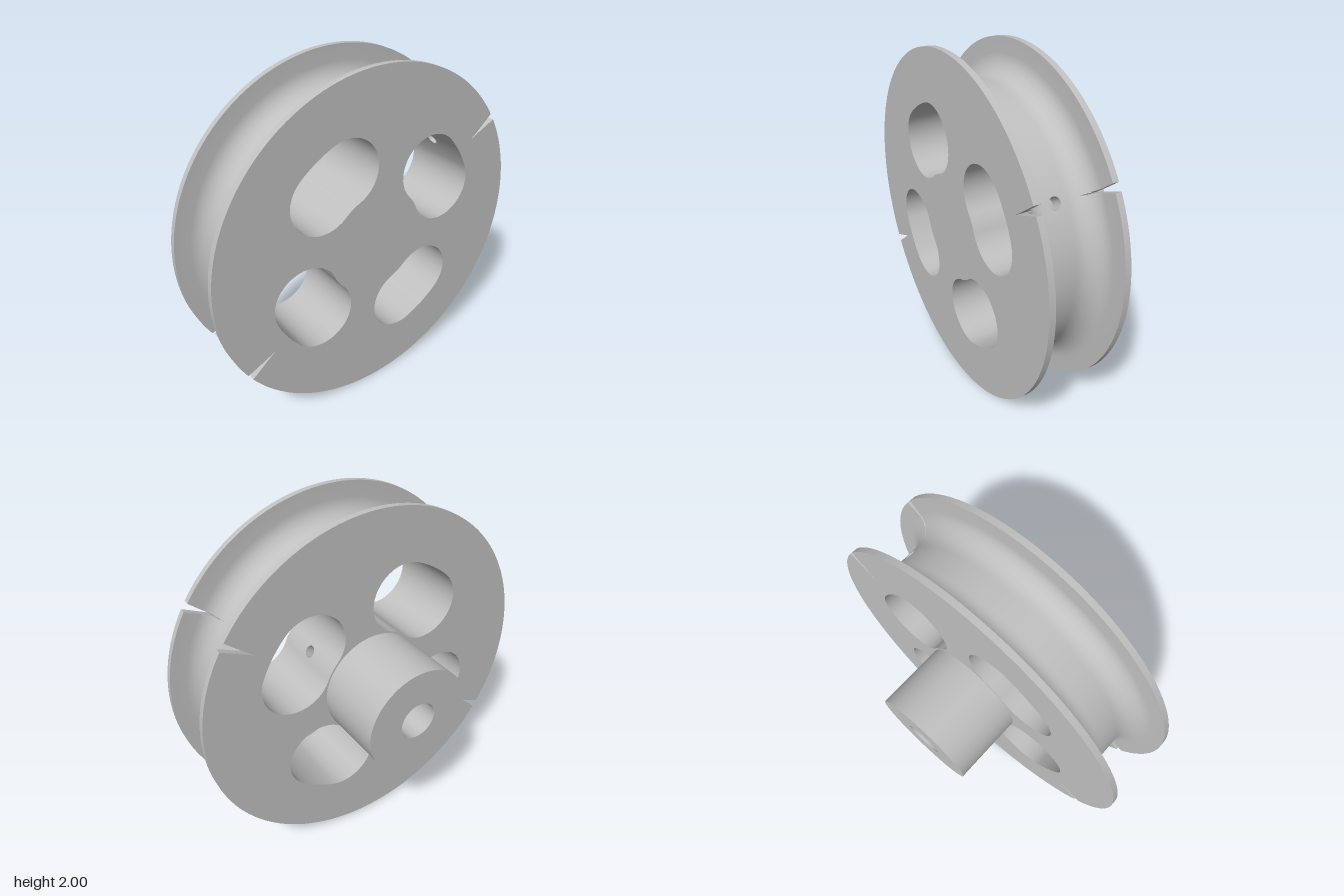
import * as THREE from 'three';
import { mergeGeometries, toCreasedNormals } from 'three/addons/utils/BufferGeometryUtils.js';

const RAD = Math.PI / 180;
const HALF = 0.23;                     // half the wheel width (local z is the axle)
const AXIS = 32.5 * RAD;               // direction of the notches and cross bore
const FLOOR = 0.79;                    // groove floor radius
const PIN = 0.034;                     // cross bore radius
const SLOT = { r: 0.51, w: 0.2, half: 10 * RAD };
const HUB = { r: 0.3, bore: 0.105, end: -0.636, screwA: -0.43, screwT: -54 * RAD, screwR: 0.06 };

const polar = (r, t, a) => new THREE.Vector3(r * Math.cos(t), r * Math.sin(t), a);

// Quad sheet over a grid of points f(i, j); skip leaves cells open
function sheet(nu, nv, f, { flip = false, skip = () => false } = {}) {
  const out = [];
  const tri = (a, b, c) => {
    const area = b.clone().sub(a).cross(c.clone().sub(a)).length();
    if (area < 1e-9) return;
    for (const p of flip ? [a, c, b] : [a, b, c]) out.push(p.x, p.y, p.z);
  };
  for (let i = 0; i < nu; i++) for (let j = 0; j < nv; j++) {
    if (skip(i, j)) continue;
    const a = f(i, j), b = f(i + 1, j), c = f(i + 1, j + 1), d = f(i, j + 1);
    tri(a, b, c);
    tri(a, c, d);
  }
  const g = new THREE.BufferGeometry();
  g.setAttribute('position', new THREE.Float32BufferAttribute(out, 3));
  return g;
}

// Curved rectangle on a cylinder of radius r, pierced by a round hole
function piercedPatch(r, t0, a0, halfT, halfA, hole, flip) {
  return sheet(48, 6, (i, k) => {
    const t = i / 48 * Math.PI * 2, c = Math.cos(t), s = Math.sin(t);
    const m = Math.max(Math.abs(c), Math.abs(s)), q = k / 6;
    const inner = Math.asin(hole * c / r);
    return polar(r, t0 + inner + (halfT * c / m - inner) * q,
      a0 + hole * s + (halfA * s / m - hole * s) * q);
  }, { flip });
}

// Radial bore wall from radius r1 in to radius r2 (r2 may lie past the centre)
function radialBore(t0, a0, hole, r1, r2) {
  return sheet(32, 1, (i, k) => {
    const t = i / 32 * Math.PI * 2, x = hole * Math.cos(t), r = k ? r2 : r1;
    const d = Math.sign(r) * Math.sqrt(r * r - x * x);
    return new THREE.Vector3(d, x, a0 + hole * Math.sin(t))
      .applyAxisAngle(new THREE.Vector3(0, 0, 1), t0);
  });
}

// Full cylinder wall with one pierced patch in it
function piercedTube(r, a1, a2, patchSteps, hole, inside) {
  const step = Math.PI * 2 / 64, rows = [a1, HUB.screwA - 0.1, HUB.screwA + 0.1, a2];
  const wall = sheet(64, 3, (i, j) => polar(r, HUB.screwT + (i - patchSteps) * step, rows[j]),
    { flip: inside, skip: (i, j) => j === 1 && i < patchSteps * 2 });
  return [wall, piercedPatch(r, HUB.screwT, HUB.screwA, patchSteps * step, 0.1, hole, !inside)];
}

// Angles around the rim, with extra samples across the two V notches
const NOTCH = 1.35 * RAD;
const angles = [];
for (let side = 0; side < 2; side++) {
  const base = AXIS + side * Math.PI;
  for (const k of [0, 0.2, 0.4, 0.6, 0.8, 1]) angles.push(base + k * NOTCH);
  for (let k = 1; k < 72; k++) angles.push(base + k * 2.5 * RAD);
  for (const k of [1, 0.8, 0.6, 0.4, 0.2]) angles.push(base + Math.PI - k * NOTCH);
}
angles.push(AXIS + Math.PI * 2);
function notchRadius(t) {
  const turn = (t - AXIS) / Math.PI;
  const off = Math.abs(turn - Math.round(turn)) * Math.PI;
  return Math.min(1, 0.81 + 0.19 * off / NOTCH);
}

// Half groove section: flange, fillet, floor; mirrored to the other side
function grooveProfile() {
  const half = [[-HALF, 1], [-0.195, 1]];
  for (let k = 0; k <= 10; k++) {
    const q = k / 10 * Math.PI / 2;
    half.push([-0.075 - 0.12 * Math.cos(q), FLOOR + 0.12 * (1 - Math.sin(q))]);
  }
  half.push([-0.06, FLOOR]);
  return [...half, ...half.map(([a, r]) => [-a, r]).reverse()];
}

// Points of a curved slot end cap; side is +1 or -1
function capPoint(mid, side, k) {
  const e = mid + side * SLOT.half, t = e + (side > 0 ? 0 : Math.PI) + k * Math.PI;
  return new THREE.Vector2(SLOT.r * Math.cos(e) + SLOT.w * Math.cos(t),
    SLOT.r * Math.sin(e) + SLOT.w * Math.sin(t));
}

function slotOutline(mid) {
  const pts = [], lo = SLOT.r - SLOT.w, hi = SLOT.r + SLOT.w;
  const arc = (r, dir) => {
    for (let k = 1; k < 8; k++) {
      const t = mid + dir * SLOT.half * (k / 4 - 1);
      pts.push(new THREE.Vector2(r * Math.cos(t), r * Math.sin(t)));
    }
  };
  for (let k = 0; k <= 20; k++) pts.push(capPoint(mid, 1, k / 20));
  arc(lo, -1);
  for (let k = 0; k <= 20; k++) pts.push(capPoint(mid, -1, k / 20));
  arc(hi, 1);
  return pts;
}

function slotWalls(mid, pierced) {
  const parts = [1, -1].map(side => sheet(20, 1, (i, j) => {
    const p = capPoint(mid, side, i / 20);
    return new THREE.Vector3(p.x, p.y, j ? HALF : -HALF);
  }, { flip: true }));
  for (const side of [1, -1]) {
    const r = SLOT.r + side * SLOT.w;
    parts.push(pierced
      ? piercedPatch(r, mid, 0, SLOT.half, HALF, PIN, side < 0)
      : sheet(8, 1, (i, j) => polar(r, mid + SLOT.half * (i / 4 - 1), j ? HALF : -HALF),
        { flip: side > 0 }));
  }
  return parts;
}

export function createModel() {
  const grey = new THREE.MeshStandardMaterial({ color: 0xc0c0c0, side: THREE.DoubleSide });
  grey.name = 'plain grey';
  const wheel = new THREE.Group();
  wheel.name = 'wheel';
  const add = (name, parts) => {
    const list = parts.map(p => {
      const g = p.index ? p.toNonIndexed() : p;
      g.deleteAttribute('uv');
      g.deleteAttribute('normal');
      return g;
    });
    const mesh = new THREE.Mesh(toCreasedNormals(mergeGeometries(list), 0.5), grey);
    mesh.name = name;
    wheel.add(mesh);
  };
  const slots = [0, 1, 2, 3].map(k => AXIS + k * Math.PI / 2);

  // Grooved rim with notches, open where the cross bore comes out
  const profile = grooveProfile(), mid = profile.length / 2 - 1;
  const patchHalf = 5 * RAD;
  const nearBore = t => {
    const turn = (t - AXIS) / Math.PI;
    return Math.abs(turn - Math.round(turn)) * Math.PI < patchHalf;
  };
  const rim = [sheet(angles.length - 1, profile.length - 1, (i, j) =>
    polar(Math.min(profile[j][1], notchRadius(angles[i])), angles[i], profile[j][0]),
  { skip: (i, j) => j === mid && nearBore((angles[i] + angles[i + 1]) / 2) })];
  for (const t of [AXIS, AXIS + Math.PI]) {
    rim.push(piercedPatch(FLOOR, t, 0, patchHalf, 0.06, PIN, true));
  }
  add('groovedRim', rim);

  // Flat side faces
  const outline = new THREE.Shape(angles.slice(0, -1).map(t => {
    const p = polar(notchRadius(t), t, 0);
    return new THREE.Vector2(p.x, p.y);
  }));
  outline.holes = slots.map(t => new THREE.Path(slotOutline(t)));
  add('frontFace', [new THREE.ShapeGeometry(outline).translate(0, 0, HALF)]);
  const back = new THREE.ShapeGeometry(outline).translate(0, 0, -HALF);
  back.index.array.reverse();
  add('backFace', [back]);

  // Four curved cutouts
  slots.forEach((t, k) => add('cutoutWall' + (k + 1), slotWalls(t, k % 2 === 0)));

  // Cross bore through the rim and the core
  const lo = SLOT.r - SLOT.w, hi = SLOT.r + SLOT.w;
  add('crossBore', [
    radialBore(AXIS, 0, PIN, FLOOR, hi),
    radialBore(AXIS, 0, PIN, lo, -lo),
    radialBore(AXIS + Math.PI, 0, PIN, FLOOR, hi),
  ]);

  // Hub with axle bore and set screw hole
  add('hub', [
    ...piercedTube(HUB.r, HUB.end, -HALF, 4, HUB.screwR, false),
    new THREE.RingGeometry(HUB.bore, HUB.r, 64).rotateY(Math.PI).translate(0, 0, HUB.end),
  ]);
  add('axleBore', [
    ...piercedTube(HUB.bore, HUB.end, -0.2, 8, HUB.screwR, true),
    new THREE.CircleGeometry(HUB.bore, 64).rotateY(Math.PI).translate(0, 0, -0.2),
  ]);
  add('setScrewHole', [radialBore(HUB.screwT, HUB.screwA, HUB.screwR, HUB.r, HUB.bore)]);

  // Turn the axle to its angle and stand the wheel on the ground
  wheel.rotation.y = Math.PI / 3;
  wheel.position.y = 1;
  const model = new THREE.Group();
  model.name = 'pulleyWheel';
  model.add(wheel);
  return model;
}
